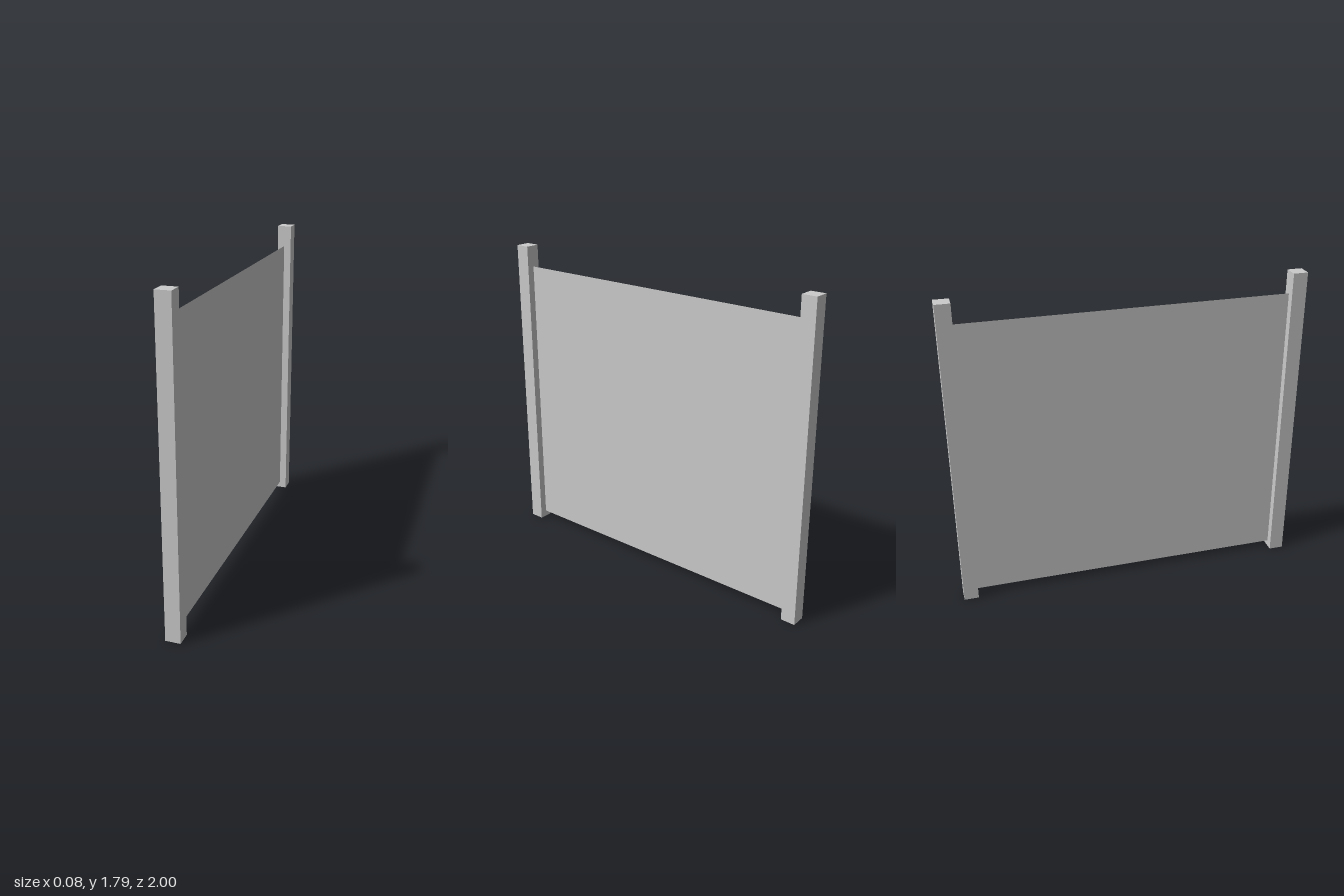
import * as THREE from 'three';

export function createModel() {
  const group = new THREE.Group();
  const material = new THREE.MeshStandardMaterial({ color: 0xcccccc, flatShading: true });
  const sheetMaterial = material.clone();
  sheetMaterial.side = THREE.DoubleSide;

  const postWidth = 0.083, postHeight = 1.786;
  const panelBottom = 0.036, panelTop = 1.663;

  // Square posts at both ends
  const postGeometry = new THREE.BoxGeometry(postWidth, postHeight, postWidth);
  for (const side of [1, -1]) {
    const post = new THREE.Mesh(postGeometry, material);
    post.name = side > 0 ? 'frontPost' : 'backPost';
    post.position.set(0, postHeight / 2, side * (1 - postWidth / 2));
    group.add(post);
  }

  // Thin sheet stretched between the posts
  const panel = new THREE.Mesh(
    new THREE.PlaneGeometry(2 - 2 * postWidth, panelTop - panelBottom),
    sheetMaterial
  );
  panel.name = 'fencePanel';
  panel.rotation.y = Math.PI / 2;
  panel.position.y = (panelTop + panelBottom) / 2;
  group.add(panel);

  return group;
}
